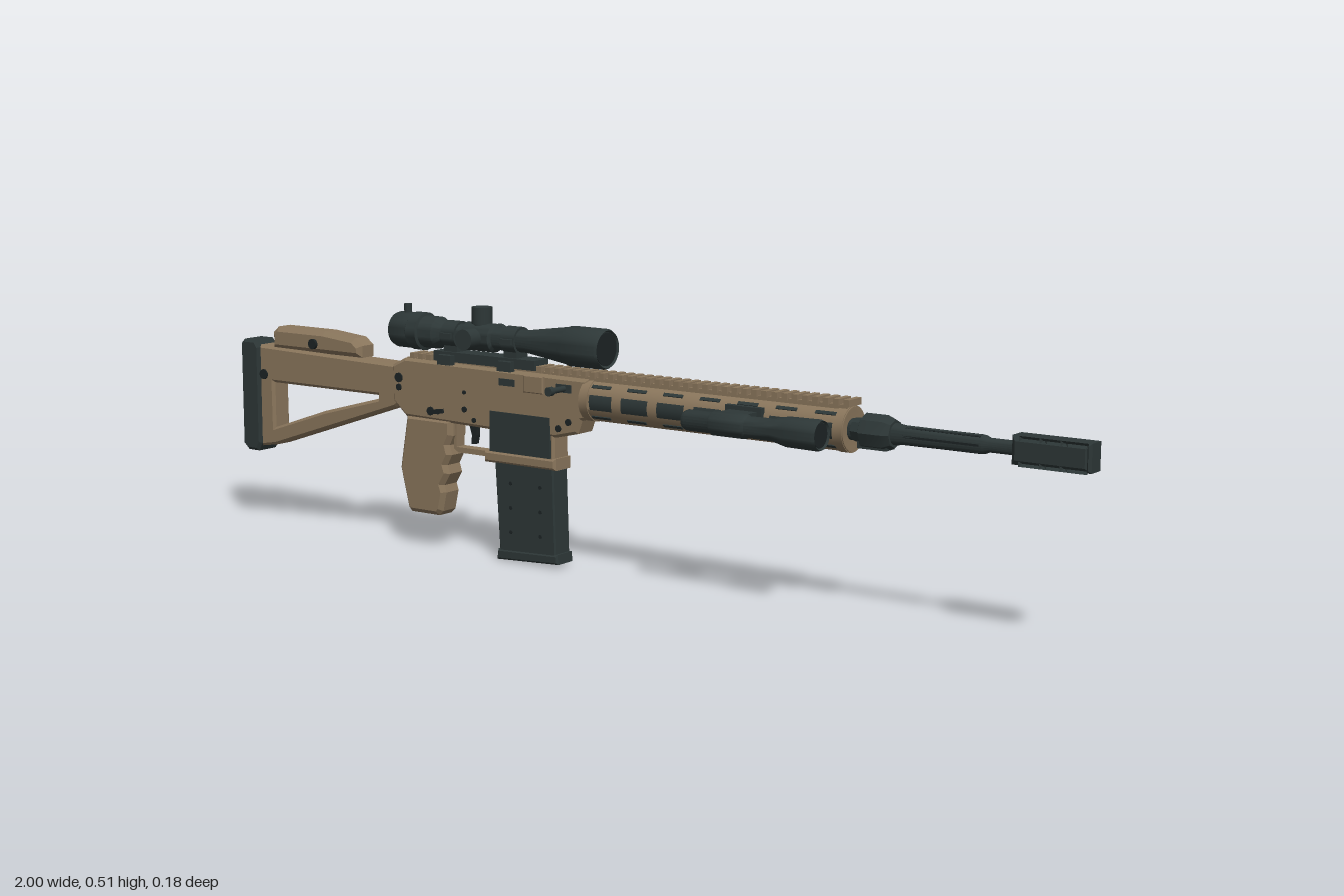
import * as THREE from 'three';
import { toCreasedNormals } from 'three/addons/utils/BufferGeometryUtils.js';

const mat = (name, color) => {
  const m = new THREE.MeshStandardMaterial({ color });
  m.name = name;
  return m;
};

export function createModel() {
  const tan = mat('tan', 0x8a765c);
  const dark = mat('dark grey green', 0x2d3737);
  const black = mat('near black', 0x1c2324);

  const model = new THREE.Group();
  model.name = 'rifle';
  const gun = new THREE.Group();   // everything is mirrored about this centre plane
  gun.name = 'body';
  gun.position.z = -0.031;
  model.add(gun);

  const add = (name, geo, m, x = 0, y = 0, z = 0) => {
    const mesh = new THREE.Mesh(geo, m);
    mesh.name = name;
    mesh.position.set(x, y, z);
    gun.add(mesh);
    return mesh;
  };
  // box given by its x and y limits, its depth and its centre z
  const box = (name, m, x0, x1, y0, y1, d, z = 0) =>
    add(name, new THREE.BoxGeometry(x1 - x0, y1 - y0, d), m, (x0 + x1) / 2, (y0 + y1) / 2, z);
  // side outline extruded across z, with chamfered edges
  const plate = (name, m, pts, d, b = 0.005, holes = [], z = 0) => {
    const v = a => a.map(p => new THREE.Vector2(...p));
    const s = new THREE.Shape(v(pts));
    holes.forEach(h => s.holes.push(new THREE.Path(v(h))));
    const g = new THREE.ExtrudeGeometry(s, {
      depth: d - 2 * b, bevelEnabled: b > 0, bevelThickness: b, bevelSize: b, bevelOffset: -b, bevelSegments: 1,
    });
    g.translate(0, 0, -d / 2 + b);
    return add(name, g, m, 0, 0, z);
  };
  const rect = (x0, x1, y0, y1) => [[x0, y0], [x1, y0], [x1, y1], [x0, y1]];
  // turned part along x from [x, radius] pairs
  const turned = (name, m, prof, y, z = 0, seg = 24) => {
    const g = new THREE.LatheGeometry(prof.map(([x, r]) => new THREE.Vector2(r, x)), seg);
    g.rotateZ(-Math.PI / 2);
    return add(name, toCreasedNormals(g, 0.6), m, 0, y, z);
  };
  // cylinder along z or y
  const pinZ = (name, m, x, y, r, len, z = 0, seg = 14) =>
    add(name, new THREE.CylinderGeometry(r, r, len, seg).rotateX(Math.PI / 2), m, x, y, z);
  const pinY = (name, m, x, y, r, len, z = 0, seg = 20) =>
    add(name, new THREE.CylinderGeometry(r, r, len, seg), m, x, y, z);

  // Stock
  plate('buttPad', dark, [[-1, 0.165], [-0.985, 0.152], [-0.955, 0.152], [-0.945, 0.17], [-0.945, 0.38],
    [-0.955, 0.395], [-0.99, 0.395], [-1, 0.385]], 0.062, 0.006);
  plate('stock', tan, [[-0.95, 0.163], [-0.905, 0.17], [-0.56, 0.285], [-0.54, 0.3], [-0.54, 0.375],
    [-0.95, 0.385]], 0.05, 0.006,
  [[[-0.908, 0.208], [-0.76, 0.258], [-0.61, 0.298], [-0.61, 0.306], [-0.908, 0.306]]]);
  plate('cheekRest', tan, [[-0.91, 0.38], [-0.655, 0.38], [-0.655, 0.405], [-0.675, 0.42], [-0.76, 0.428],
    [-0.895, 0.428], [-0.91, 0.415]], 0.054, 0.01);
  pinZ('cheekScrew', black, -0.785, 0.4, 0.011, 0.066);
  pinZ('stockScrew', black, -0.935, 0.322, 0.011, 0.056);

  // Receiver
  plate('receiver', tan, [[-0.565, 0.3], [-0.53, 0.27], [-0.31, 0.265], [-0.14, 0.265], [-0.085, 0.278],
    [-0.075, 0.305], [-0.06, 0.31], [-0.06, 0.388], [-0.53, 0.392], [-0.565, 0.375]], 0.056, 0.006);
  plate('magazineWell', tan, rect(-0.305, -0.145, 0.21, 0.3), 0.05, 0.004);
  plate('magazineWellLip', tan, rect(-0.322, -0.14, 0.198, 0.222), 0.057, 0.005);
  for (const s of [1, -1]) {
    box('wellPanel', dark, -0.304, -0.152, 0.222, 0.304, 0.005, s * 0.0275);
    for (const [x, y, r] of [[-0.545, 0.35, 0.01], [-0.545, 0.33, 0.007], [-0.46, 0.288, 0.009], [-0.44, 0.288, 0.005],
      [-0.37, 0.3, 0.006], [-0.345, 0.28, 0.005], [-0.13, 0.285, 0.007], [-0.105, 0.3, 0.007], [-0.37, 0.335, 0.004]])
      pinZ('receiverPin', black, x, y, r, 0.004, s * 0.029, 10);
  }
  plate('ejectionCover', tan, rect(-0.215, -0.165, 0.35, 0.385), 0.008, 0.002, [], 0.03);
  box('ejectionPort', dark, -0.28, -0.24, 0.358, 0.372, 0.005, 0.0275);
  box('boltWindow', dark, -0.135, -0.098, 0.358, 0.374, 0.006, 0.0275);
  pinZ('boltHandle', dark, -0.115, 0.366, 0.006, 0.055, 0.052);
  pinZ('boltKnob', dark, -0.115, 0.366, 0.009, 0.012, 0.075);
  const lever = box('safetyLever', black, -0.465, -0.425, 0.284, 0.293, 0.006, 0.031);
  lever.rotation.z = 0.15;

  // Pistol grip with finger grooves, trigger and guard
  plate('pistolGrip', tan, [[-0.53, 0.275], [-0.545, 0.19], [-0.55, 0.16], [-0.53, 0.078], [-0.522, 0.07],
    [-0.447, 0.07], [-0.437, 0.08], [-0.428, 0.12], [-0.433, 0.135], [-0.418, 0.16], [-0.424, 0.178],
    [-0.412, 0.2], [-0.418, 0.22], [-0.408, 0.24], [-0.408, 0.275]], 0.056, 0.009);
  plate('triggerGuard', tan, [[-0.412, 0.213], [-0.4, 0.206], [-0.31, 0.206], [-0.31, 0.275], [-0.412, 0.275]],
    0.026, 0, [rect(-0.405, -0.318, 0.217, 0.27)]);
  plate('trigger', black, [[-0.378, 0.27], [-0.37, 0.245], [-0.371, 0.226], [-0.362, 0.226], [-0.358, 0.245],
    [-0.358, 0.27]], 0.012, 0);

  // Magazine
  plate('magazine', dark, [[-0.285, 0.015], [-0.142, 0.02], [-0.148, 0.21], [-0.297, 0.21]], 0.049, 0.003);
  plate('magazineBase', dark, [[-0.292, 0], [-0.135, 0.008], [-0.137, 0.028], [-0.289, 0.022]], 0.054, 0.004);
  for (const s of [1, -1]) for (let i = 0; i < 3; i++) for (const x of [-0.255, -0.18])
    pinZ('magazineHole', black, x, 0.06 + i * 0.05, 0.004, 0.002, s * 0.0248, 8);

  // Top rail with teeth over receiver and handguard
  box('topRail', tan, -0.53, 0.52, 0.38, 0.393, 0.036);
  for (let x = -0.52; x < 0.515; x += 0.022) box('railTooth', tan, x, x + 0.012, 0.39, 0.403, 0.044);

  // Handguard: dark core under a slotted shell
  const cy = 0.347, hx0 = -0.065, hx1 = 0.525;
  turned('handguardCore', dark, [[hx0, 0], [hx0, 0.036], [hx1 - 0.01, 0.036], [hx1 - 0.01, 0]], cy, 0, 16);
  const shell = (name, x0, x1, a0, len) => {
    const g = new THREE.CylinderGeometry(0.042, 0.042, x1 - x0, Math.max(2, Math.round(len / 0.26)), 1, true, a0, len);
    g.rotateZ(-Math.PI / 2);
    return add(name, g, tan, (x0 + x1) / 2, cy);
  };
  // thin bands between slots on each side, solid strips above and below
  const half = 0.36, pitch = (hx1 - hx0) / 7;
  shell('handguardTop', hx0, hx1, -Math.PI + half, Math.PI - 2 * half);
  shell('handguardBottom', hx0, hx1, half, Math.PI - 2 * half);
  for (let i = 0; i <= 7; i++) {
    const x = hx0 + i * pitch;
    const x0 = Math.max(hx0, x - 0.011), x1 = Math.min(hx1, x + 0.011);
    for (const a of [0, Math.PI]) shell('handguardBand', x0, x1, a - half, 2 * half);
    if (i < 7) for (const s of [1, -1]) for (const up of [1, -1]) {
      const slot = box('handguardVent', dark, x + 0.02, x + pitch - 0.02, -0.0035, 0.0035, 0.003);
      slot.position.set(x + pitch / 2, cy + up * 0.0297, s * 0.0297);
      slot.rotation.x = -s * up * Math.PI / 4;
    }
  }
  for (const x of [hx0 + 0.005, hx1 - 0.012])
    turned('handguardCollar', tan, [[x - 0.01, 0.036], [x - 0.01, 0.0435], [x + 0.01, 0.0435], [x + 0.01, 0.034],
      [x + 0.005, 0]], cy);

  // Barrel, gas block and muzzle brake
  turned('barrel', dark, [[0.5, 0], [0.5, 0.02], [0.615, 0.02], [0.63, 0.018], [0.79, 0.017], [0.8, 0.013],
    [0.86, 0.013], [0.86, 0]], cy);
  for (let i = 0; i < 6; i++) {
    const a = i * Math.PI / 3, f = box('barrelFlute', black, 0.635, 0.785, 0, 0.004, 0.002);
    f.position.set(0.71, cy + 0.0168 * Math.sin(a), 0.0168 * Math.cos(a));
    f.rotation.x = -a;
  }
  turned('gasBlock', dark, [[0.528, 0], [0.528, 0.022], [0.545, 0.024], [0.55, 0.033], [0.595, 0.033],
    [0.61, 0.026], [0.61, 0]], cy, 0, 8);
  box('gasBlockFoot', dark, 0.54, 0.6, 0.316, 0.345, 0.03);
  plate('muzzleBrake', dark, rect(0.85, 1, 0.321, 0.373), 0.052, 0.009,
    [0.882, 0.921, 0.96].map(x => rect(x - 0.006, x + 0.03 - 0.006 + 0.004, 0.329, 0.365)));

  // Scope
  const sy = 0.447;
  turned('scopeTube', dark, [[-0.568, 0], [-0.568, 0.034], [-0.56, 0.037], [-0.5, 0.037], [-0.49, 0.033],
    [-0.455, 0.033], [-0.44, 0.023], [-0.385, 0.023], [-0.38, 0.029], [-0.31, 0.029], [-0.305, 0.023],
    [-0.225, 0.023], [-0.125, 0.037], [-0.115, 0.04], [-0.035, 0.04], [-0.03, 0.037], [-0.034, 0.034],
    [-0.036, 0]], sy, 0, 28);
  turned('scopeLens', black, [[-0.036, 0.033], [-0.033, 0.033], [-0.033, 0]], sy);
  turned('zoomRing', dark, [[-0.52, 0.037], [-0.518, 0.039], [-0.492, 0.039], [-0.49, 0.033]], sy);
  pinY('zoomStud', dark, -0.542, sy + 0.044, 0.008, 0.02);
  pinY('elevationTurret', dark, -0.345, 0.491, 0.021, 0.034);
  pinY('elevationNeck', dark, -0.345, 0.472, 0.017, 0.02);
  for (const s of [1, -1]) {
    pinZ('sideTurret', dark, -0.345, sy, 0.021, 0.03, s * 0.045, 20);
    pinZ('sideTurretNeck', dark, -0.345, sy, 0.017, 0.02, s * 0.026, 20);
  }
  // Scope mount
  box('mountBase', dark, -0.455, -0.195, 0.393, 0.413, 0.046);
  for (const x of [-0.415, -0.26]) {
    turned('mountRing', dark, [[x - 0.017, 0.022], [x - 0.017, 0.028], [x + 0.017, 0.028], [x + 0.017, 0.022]], sy);
    box('mountPost', dark, x - 0.017, x + 0.017, 0.4, 0.43, 0.034);
    box('mountClamp', dark, x - 0.017, x + 0.017, 0.388, 0.408, 0.014, 0.032);
    for (const s of [1, -1]) box('ringEar', dark, x - 0.014, x + 0.014, sy - 0.005, sy + 0.005, 0.008, s * 0.03);
  }

  // Side light on its bracket
  const lz = 0.089;
  turned('sideLight', dark, [[0.215, 0], [0.215, 0.017], [0.222, 0.02], [0.275, 0.02], [0.28, 0.023], [0.35, 0.023],
    [0.355, 0.02], [0.41, 0.021], [0.44, 0.028], [0.505, 0.029], [0.511, 0.027], [0.507, 0.024], [0.506, 0]], cy - 0.001, lz);
  turned('sideLightLens', black, [[0.5065, 0.023], [0.508, 0.023], [0.508, 0]], cy - 0.001, lz);
  box('lightBracket', dark, 0.285, 0.345, 0.355, 0.367, 0.05, 0.058);
  box('lightClamp', dark, 0.275, 0.355, 0.345, 0.375, 0.012, 0.042);

  return model;
}
